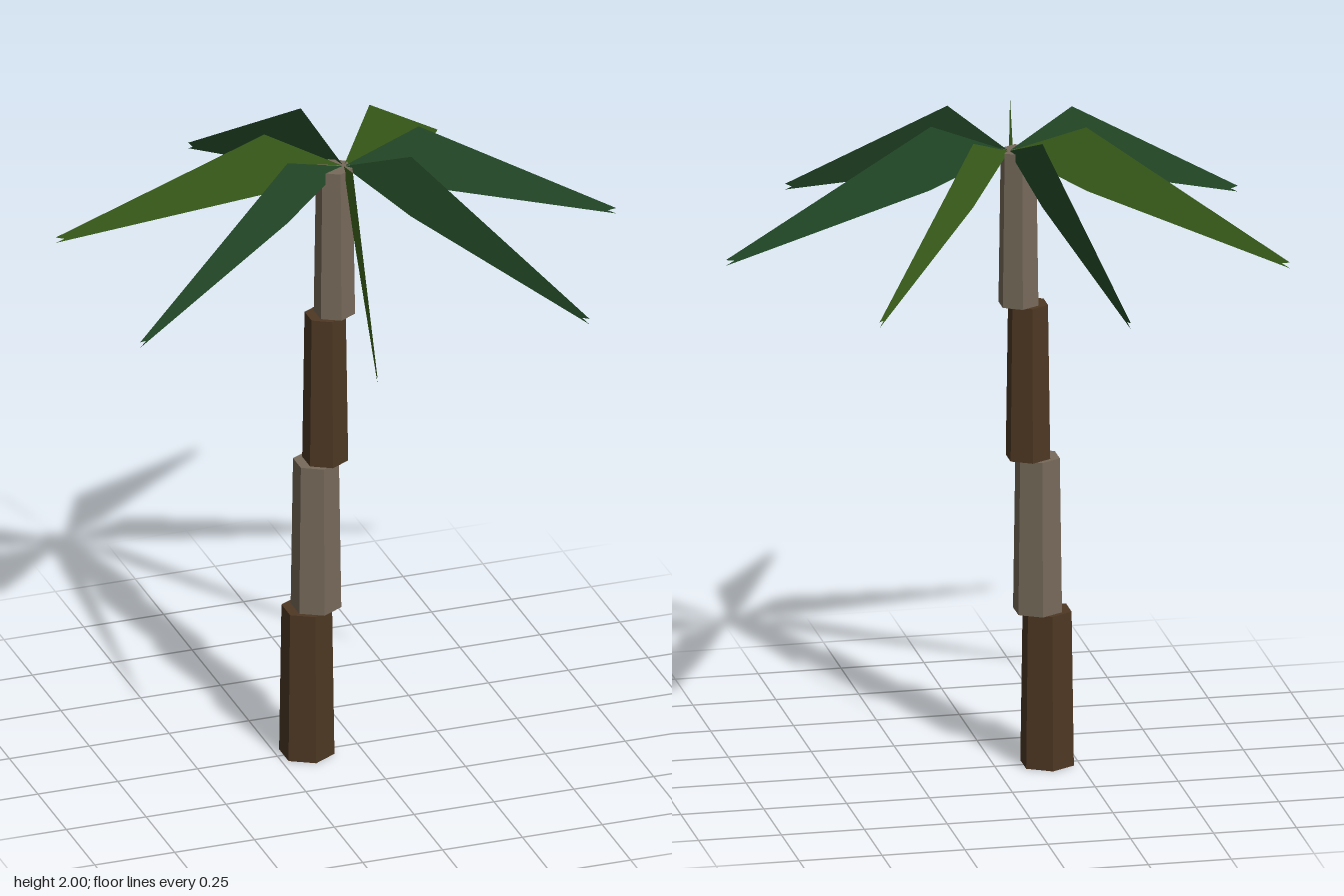
import * as THREE from 'three';

const material = (name, color, extra = {}) => {
  const m = new THREE.MeshStandardMaterial({ color, ...extra });
  m.name = name;
  return m;
};

export function createModel() {
  const bark = [
    material('dark bark', 0x4e3823, { flatShading: true }),
    material('pale bark', 0x766a5a, { flatShading: true }),
  ];
  const leaf = [
    material('deep green', 0x264e2a, { side: THREE.DoubleSide }),
    material('olive green', 0x40681f, { side: THREE.DoubleSide }),
  ];
  const tree = new THREE.Group();
  tree.name = 'palmTree';

  // Stepped trunk: tapering hexagonal segments, each shifted sideways
  const segments = 4, height = 1.91 / segments, baseX = -0.158, step = 0.0288;
  const radius = (t) => THREE.MathUtils.lerp(0.083, 0.055, t);
  for (let i = 0; i < segments; i++) {
    const geometry = new THREE.CylinderGeometry(
      radius((i + 1) / segments), radius(i / segments), height, 6);
    const segment = new THREE.Mesh(geometry, bark[i % 2]);
    segment.name = `trunkSegment${i + 1}`;
    segment.position.set(baseX + i * step, (i + 0.5) * height, 0);
    tree.add(segment);
  }

  // Crown of upright flat fronds with a notched tip
  const frondShape = new THREE.Shape([
    [0, 0], [0.235, -0.105], [0.854, -0.298], [0.828, -0.283], [0.854, -0.28], [0.235, 0.092],
  ].map(([x, y]) => new THREE.Vector2(x, y)));
  const frondGeometry = new THREE.ShapeGeometry(frondShape);
  const crown = new THREE.Group();
  crown.name = 'crown';
  crown.position.set(baseX + segments * step, 1.908, 0);
  const fronds = 7;
  for (let i = 0; i < fronds; i++) {
    const frond = new THREE.Mesh(frondGeometry, leaf[i % 2]);
    frond.name = `frond${i + 1}`;
    frond.rotation.y = (i / fronds) * Math.PI * 2;
    crown.add(frond);
  }
  tree.add(crown);
  return tree;
}
